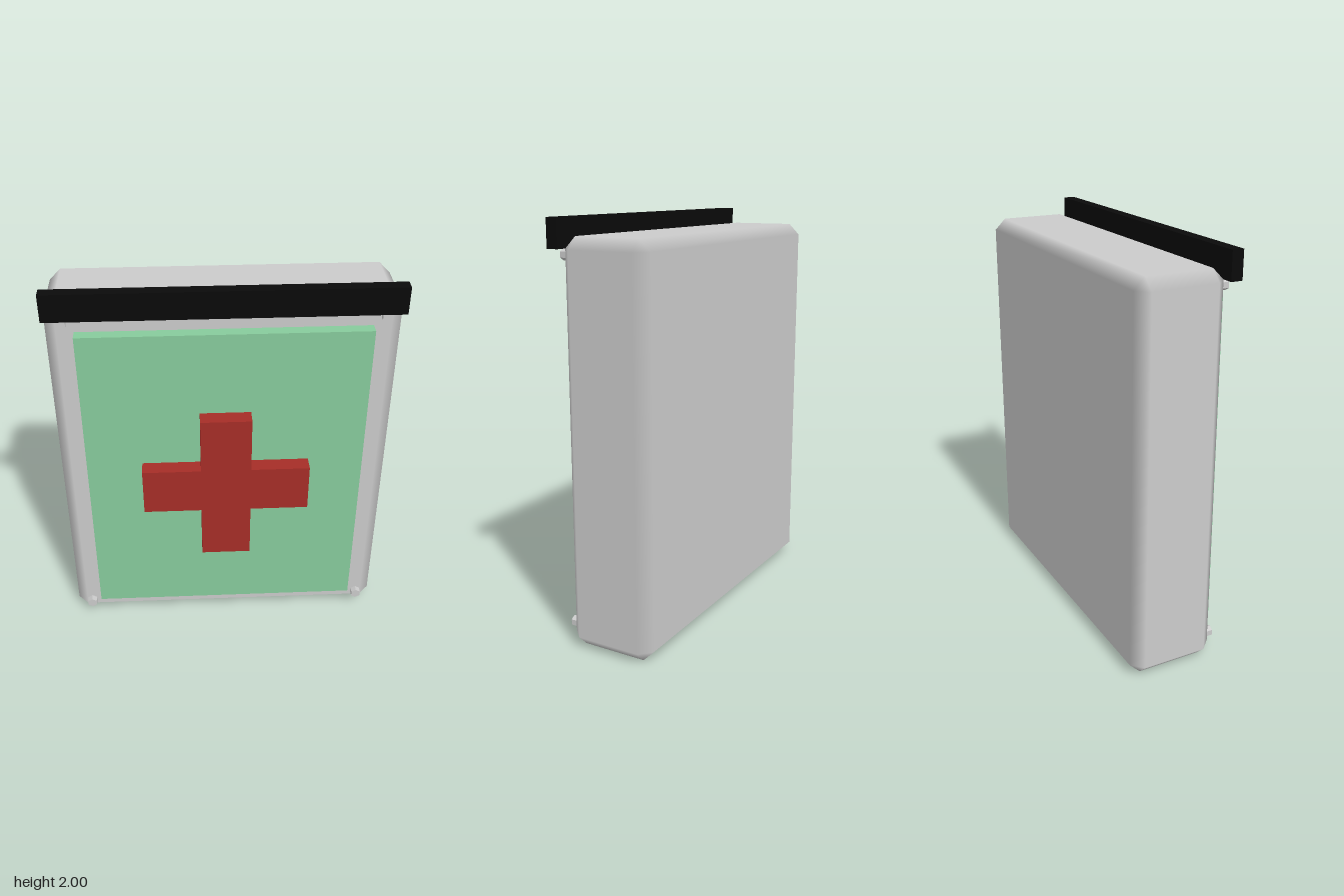
import * as THREE from 'three';
import { ConvexGeometry } from 'three/addons/geometries/ConvexGeometry.js';

const grey = new THREE.MeshStandardMaterial({ color: 0xcccccc });
const greyFlat = new THREE.MeshStandardMaterial({ color: 0xcccccc, flatShading: true });
const green = new THREE.MeshStandardMaterial({ color: 0x87cb9c });
const red = new THREE.MeshStandardMaterial({ color: 0xa62d27 });
const black = new THREE.MeshStandardMaterial({ color: 0x0a0a0a });

// Box with 45-degree bevels; normals follow the six big faces so the bevels shade smoothly
function beveledBox(w, h, d, bevel) {
  const half = [w / 2, h / 2, d / 2];
  const points = [];
  for (const sx of [-1, 1]) for (const sy of [-1, 1]) for (const sz of [-1, 1]) {
    for (let axis = 0; axis < 3; axis++) {
      const p = [sx, sy, sz].map((s, i) => s * (half[i] - (i === axis ? 0 : bevel)));
      points.push(new THREE.Vector3(...p));
    }
  }
  const geometry = new ConvexGeometry(points);
  const pos = geometry.attributes.position;
  const normal = geometry.attributes.normal;
  for (let i = 0; i < pos.count; i++) {
    const p = [pos.getX(i), pos.getY(i), pos.getZ(i)];
    normal.setXYZ(i, ...p.map((v, k) => (Math.abs(v) > half[k] - bevel / 2 ? Math.sign(v) : 0)));
  }
  return geometry;
}

function crossShape(arm, half) {
  const shape = new THREE.Shape();
  const corners = [[half, arm], [half, half], [arm, half]];
  for (let q = 0; q < 4; q++) {
    const c = Math.round(Math.cos(q * Math.PI / 2)), s = Math.round(Math.sin(q * Math.PI / 2));
    // each quarter runs anticlockwise: side arm, inner corner, upper arm
    [...corners].reverse().forEach(([x, y], i) => {
      const px = x * c - y * s, py = x * s + y * c;
      if (q === 0 && i === 0) shape.moveTo(px, py);
      else shape.lineTo(px, py);
    });
  }
  shape.closePath();
  return shape;
}

export function createModel() {
  const model = new THREE.Group();
  model.name = 'firstAidCabinet';

  const add = (name, geometry, material, x, y, z) => {
    const mesh = new THREE.Mesh(geometry, material);
    mesh.name = name;
    mesh.position.set(x, y, z);
    model.add(mesh);
  };

  // Cabinet body
  add('cabinetBody', beveledBox(1.645, 1.92, 0.435, 0.055), grey, 0, 0.96, -0.075);

  // Front panel and top strip
  add('frontPanel', new THREE.BoxGeometry(1.37, 1.645, 0.057), green, 0, 0.962, 0.172);
  add('topStrip', new THREE.BoxGeometry(1.645, 0.135, 0.057), black, 0, 1.9325, 0.172);

  // Raised cross, standing just clear of the panel
  const cross = new THREE.ExtrudeGeometry(crossShape(0.41, 0.123), { depth: 0.08, bevelEnabled: false });
  add('cross', cross, red, 0, 0.96, 0.214);

  // Hexagonal corner bolts
  const bolt = new THREE.CylinderGeometry(0.027, 0.027, 0.035, 6).rotateX(Math.PI / 2);
  for (const x of [-0.74, 0.74]) {
    for (const y of [0.086, 1.838]) add('cornerBolt', bolt, greyFlat, x, y, 0.157);
  }

  return model;
}
